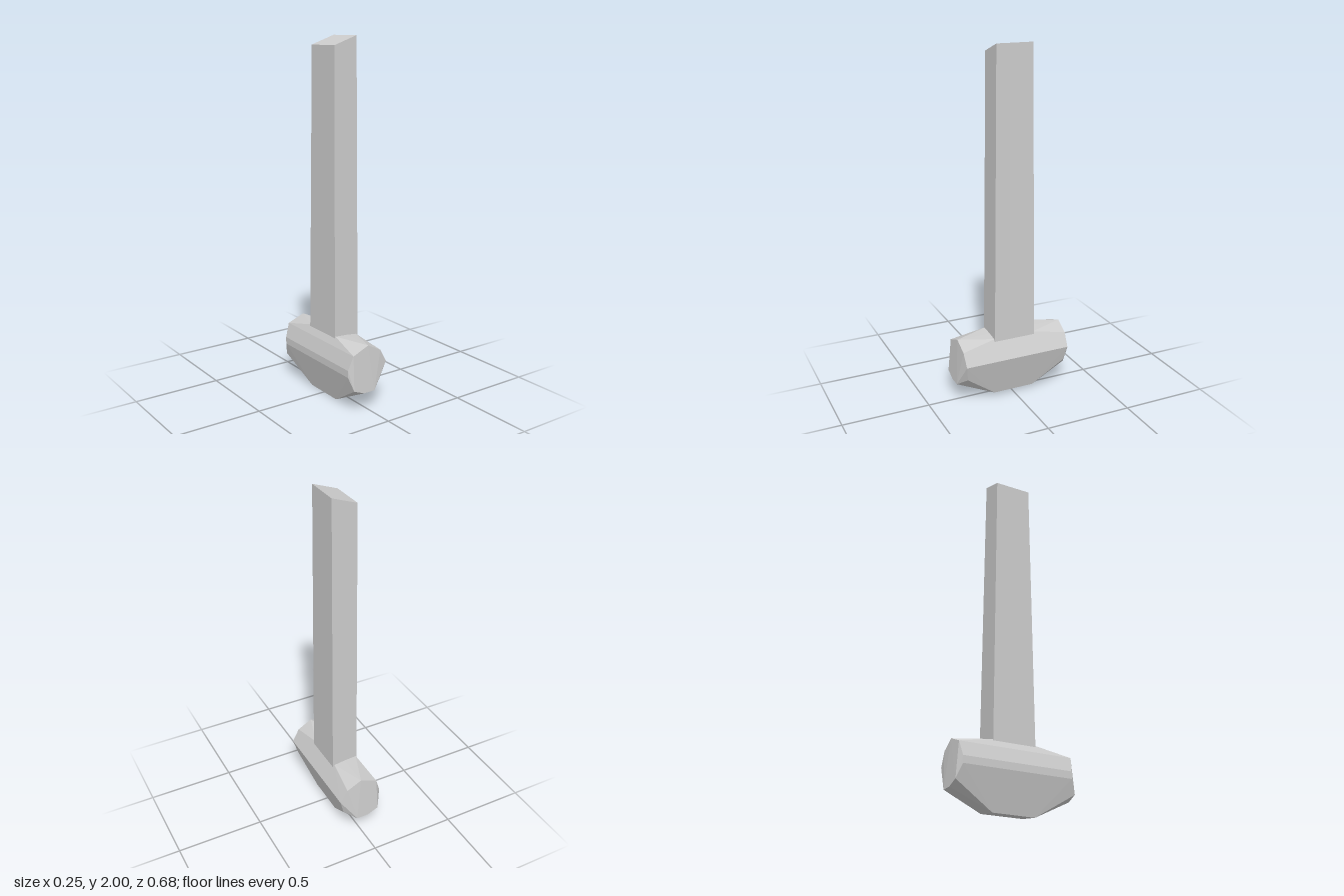
import * as THREE from 'three';
import { ConvexGeometry } from 'three/addons/geometries/ConvexGeometry.js';

export function createModel() {
  const group = new THREE.Group();
  const material = new THREE.MeshStandardMaterial({ color: 0xcccccc, flatShading: true });

  // Head: faceted block, one end listed and mirrored front to back
  const halfHead = [
    // end ring
    [-0.105, 0.135, 0.338], [-0.04, 0.11, 0.34], [0.03, 0.11, 0.34],
    [0.1, 0.16, 0.3], [0.127, 0.25, 0.315], [0.085, 0.325, 0.318],
    [0, 0.37, 0.32], [-0.1, 0.33, 0.322], [-0.127, 0.25, 0.31], [-0.127, 0.21, 0.31],
    // middle corners, below and above
    [-0.07, 0, 0.12], [0.06, 0.02, 0.12], [-0.075, 0.375, 0.12], [0.065, 0.362, 0.12],
  ];
  const points = [];
  for (const [x, y, z] of halfHead) {
    points.push(new THREE.Vector3(x, y, z), new THREE.Vector3(x, y, -z));
  }
  const head = new THREE.Mesh(new ConvexGeometry(points), material);
  head.name = 'head';
  group.add(head);

  // Handle: tapered bar with a slanted top
  const bar = new THREE.BoxGeometry(2, 2, 2);
  const pos = bar.attributes.position;
  for (let i = 0; i < pos.count; i++) {
    const sx = pos.getX(i), sz = pos.getZ(i);
    if (pos.getY(i) > 0) pos.setXYZ(i, sx * 0.071, 1.975 + sx * 0.025, sz * 0.104);
    else pos.setXYZ(i, sx * 0.078 - 0.002, 0.35, sz * 0.123);
  }
  bar.computeVertexNormals();
  const handle = new THREE.Mesh(bar, material);
  handle.name = 'handle';
  group.add(handle);

  return group;
}
